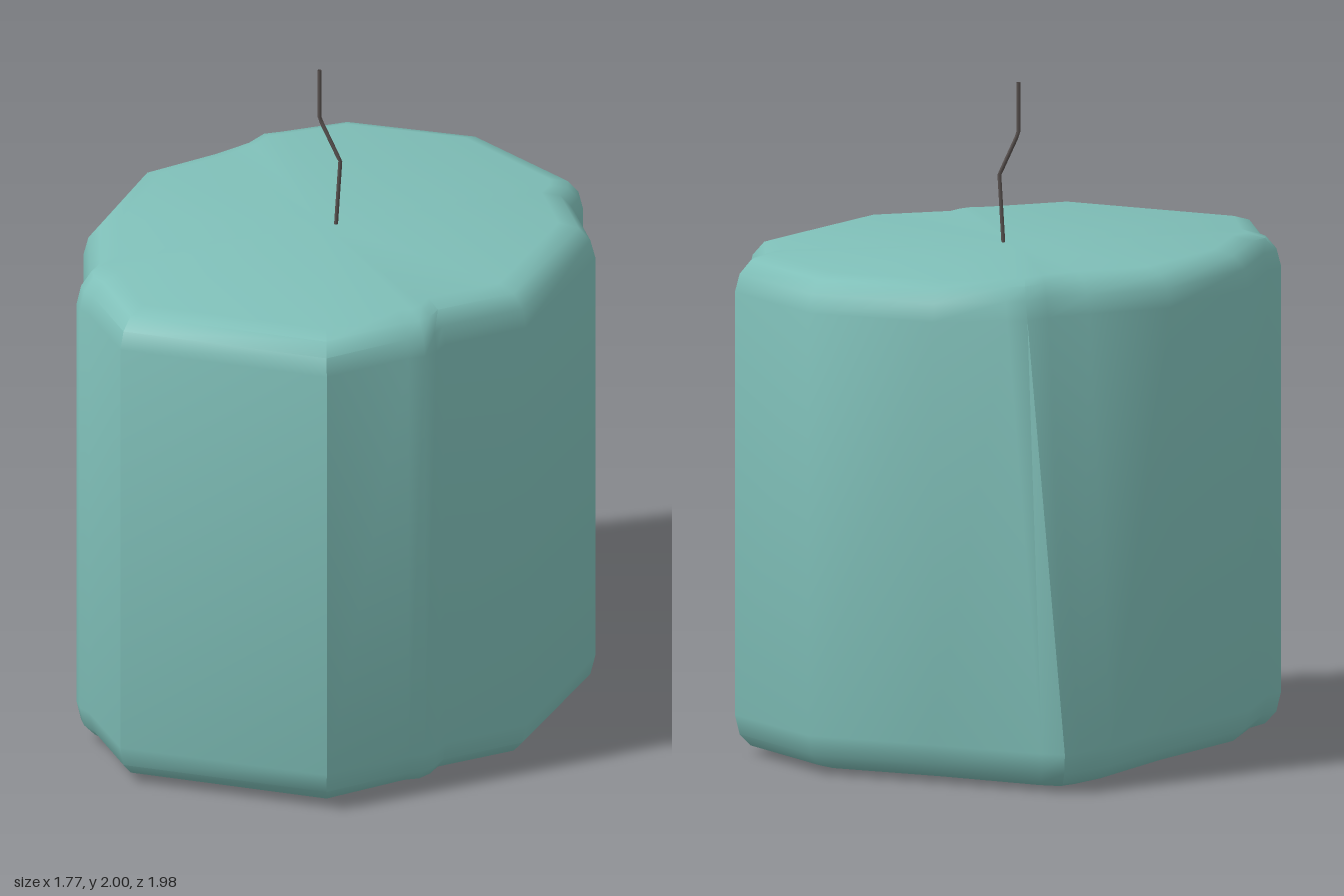
import * as THREE from 'three';
import { toCreasedNormals } from 'three/addons/utils/BufferGeometryUtils.js';

// Outline at the foot as [x, z], counterclockwise seen from above.
// The back corner carries a second [x, z] for the top, where the wall leans in.
const OUTLINE = [
  [-0.44, 0.985], [-0.15, 0.96], [-0.1, 0.97], [-0.05, 0.95], [0, 0.91], [0.28, 0.895],
  [0.73, 0.48], [0.81, 0.2], [0.86, 0.15], [0.885, 0.1], [0.8, -0.38], [0.5, -0.68],
  [0.24, -0.95, 0.28, -0.705], [0.18, -0.99, 0.22, -0.715], [0.12, -0.96, 0.14, -0.67],
  [0, -0.87, 0, -0.635], [-0.27, -0.59], [-0.62, -0.25], [-0.77, 0.05], [-0.825, 0.1],
  [-0.84, 0.15], [-0.835, 0.2], [-0.885, 0.5],
];

// Rounded edge profile as [inset, height]
const PROFILE = [
  [0.11, 0.01], [0.05, 0.025], [0.015, 0.06], [0, 0.12],
  [0, 1.4], [0.015, 1.455], [0.05, 1.495], [0.11, 1.512],
];

const CENTRE_Z = 0.1;

function waxGeometry() {
  const n = OUTLINE.length;
  const positions = [];
  const index = [];

  // Cross-section rings, pulled in towards the axis by the inset
  for (const [inset, y] of PROFILE) {
    const t = THREE.MathUtils.clamp((y - 0.12) / 1.34, 0, 1);
    for (const [x0, z0, x1 = x0, z1 = z0] of OUTLINE) {
      const x = THREE.MathUtils.lerp(x0, x1, t);
      const z = THREE.MathUtils.lerp(z0, z1, t) - CENTRE_Z;
      const s = 1 - inset / Math.hypot(x, z);
      positions.push(x * s, y, z * s + CENTRE_Z);
    }
  }

  // Walls between neighbouring rings
  for (let k = 0; k < PROFILE.length - 1; k++) {
    for (let i = 0; i < n; i++) {
      const a = k * n + i, b = k * n + (i + 1) % n;
      index.push(a, b, b + n, a, b + n, a + n);
    }
  }

  // Bottom and top caps
  const bottom = positions.length / 3;
  const top = bottom + 1;
  const last = (PROFILE.length - 1) * n;
  positions.push(0, 0, CENTRE_Z, 0, 1.512, CENTRE_Z);
  for (let i = 0; i < n; i++) {
    const j = (i + 1) % n;
    index.push(bottom, j, i, top, last + i, last + j);
  }

  const geometry = new THREE.BufferGeometry();
  geometry.setAttribute('position', new THREE.Float32BufferAttribute(positions, 3));
  geometry.setIndex(index);
  return toCreasedNormals(geometry, 0.78);
}

function wickGeometry() {
  const points = [
    [0.035, 1.5, 0.13], [0.045, 1.715, 0.14], [0, 1.845, 0.092], [0, 2, 0.092],
  ].map((p) => new THREE.Vector3(...p));
  const path = new THREE.CurvePath();
  for (let i = 0; i < points.length - 1; i++) {
    path.add(new THREE.LineCurve3(points[i], points[i + 1]));
  }
  return new THREE.TubeGeometry(path, 24, 0.006, 6);
}

export function createModel() {
  const model = new THREE.Group();
  model.name = 'candle';

  // Faceted wax block with softened rims
  const wax = new THREE.Mesh(waxGeometry(), new THREE.MeshStandardMaterial({ color: 0x7fbfb8 }));
  wax.name = 'waxBody';

  // Thin kinked wick
  const wick = new THREE.Mesh(
    wickGeometry(),
    new THREE.MeshStandardMaterial({ color: 0x5a5351, side: THREE.DoubleSide }),
  );
  wick.name = 'wick';

  model.add(wax, wick);
  return model;
}
